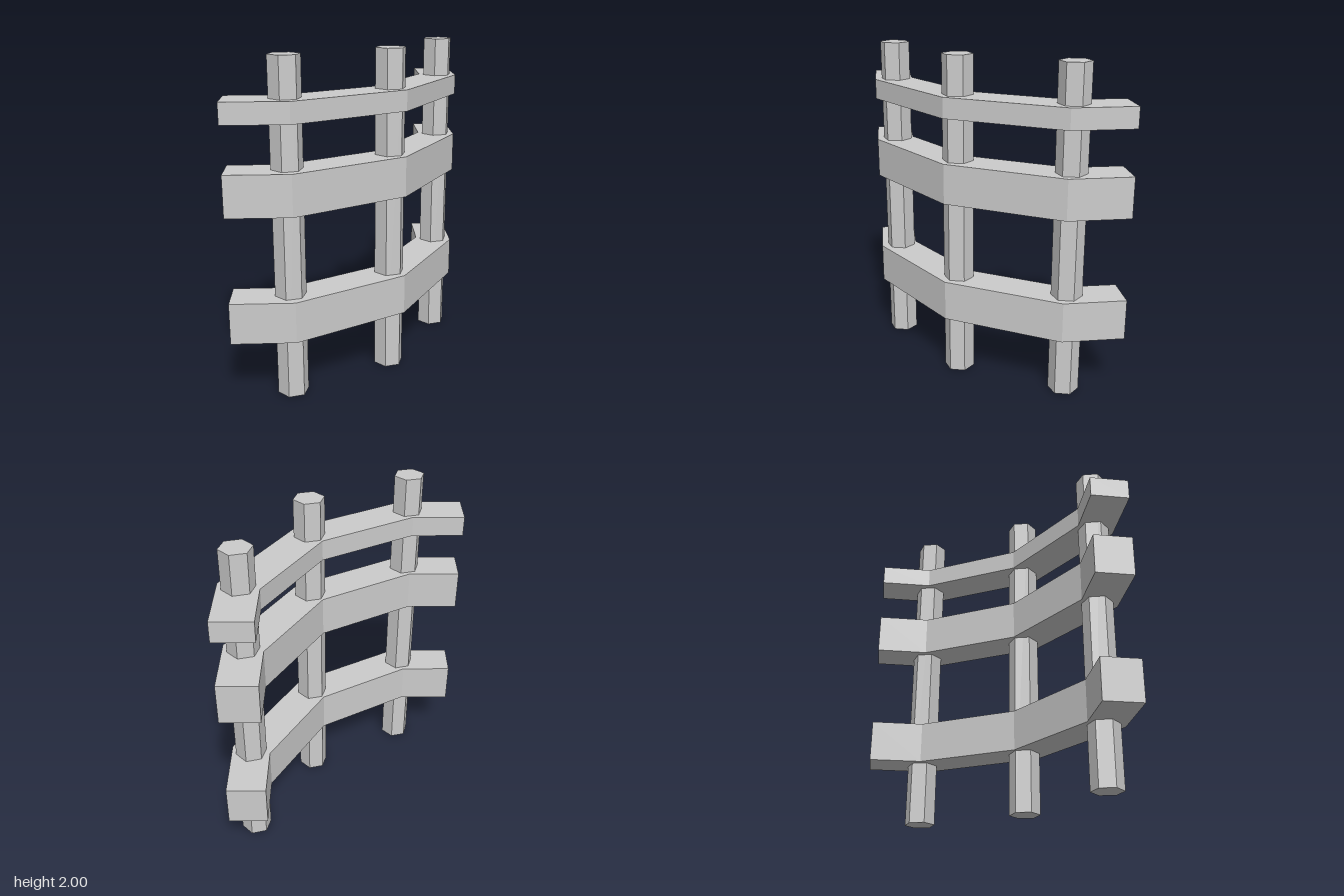
import * as THREE from 'three';

export function createModel() {
  const model = new THREE.Group();
  const material = new THREE.MeshStandardMaterial({ color: 0xcccccc, flatShading: true });

  // Hexagonal upright posts, corners pointing along x: [x, z]
  const posts = [[0, 0.662], [0.178, -0.003], [0, -0.68]];
  posts.forEach(([x, z], i) => {
    const geometry = new THREE.CylinderGeometry(0.093, 0.093, 2, 6, 1, false, Math.PI / 2);
    const post = new THREE.Mesh(geometry, material);
    post.name = `post${i + 1}`;
    post.position.set(x, 1, z);
    model.add(post);
  });

  // Bent rail plan: half of each edge as [x, z], mirrored across z = 0
  const outer = [[-0.152, 0.998], [0.115, 0.732], [0.309, 0]];
  const inner = [[-0.312, 0.835], [-0.092, 0.612], [0.071, 0]];
  const mirrored = (half) => [...half, ...half.slice(0, -1).reverse().map(([x, z]) => [x, -z])];
  const outline = [...mirrored(outer), ...mirrored(inner).reverse()];
  const plan = new THREE.Shape(outline.map(([x, z]) => new THREE.Vector2(x, -z)));

  // Rails: [name, bottom, height]
  const rails = [['lowerRail', 0.375, 0.248], ['middleRail', 1.128, 0.245], ['topRail', 1.642, 0.124]];
  for (const [name, bottom, height] of rails) {
    const geometry = new THREE.ExtrudeGeometry(plan, { depth: height, bevelEnabled: false });
    geometry.rotateX(-Math.PI / 2);
    const rail = new THREE.Mesh(geometry, material);
    rail.name = name;
    rail.position.y = bottom;
    model.add(rail);
  }

  return model;
}
